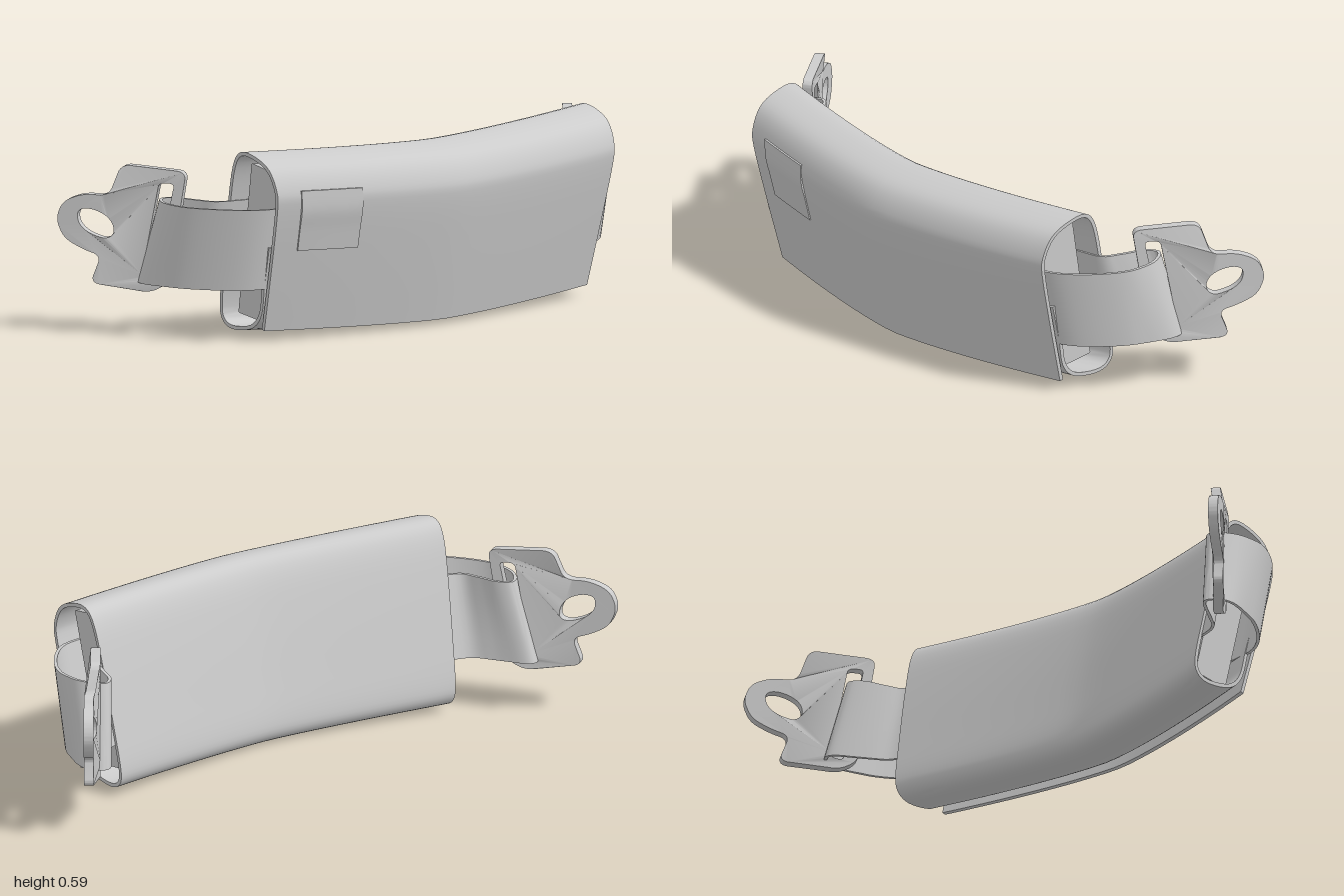
import * as THREE from 'three';
import { toCreasedNormals } from 'three/addons/utils/BufferGeometryUtils.js';

const material = new THREE.MeshStandardMaterial({ color: 0xcccccc, side: THREE.DoubleSide });

// Extrude a shape, then move every vertex by rule(x, y, z) -> [x, y, z]
function warped(name, shape, depth, steps, rule, mirror = false) {
  const geo = new THREE.ExtrudeGeometry(shape, { depth, steps, bevelEnabled: false, curveSegments: 10 });
  geo.deleteAttribute('uv');
  const p = geo.attributes.position;
  for (let i = 0; i < p.count; i++) {
    const [x, y, z] = rule(p.getX(i), p.getY(i), p.getZ(i));
    p.setXYZ(i, mirror ? -x : x, y, z);
  }
  if (mirror) { // keep faces pointing outward
    const a = new THREE.Vector3(), b = new THREE.Vector3();
    for (let i = 0; i < p.count; i += 3) {
      a.fromBufferAttribute(p, i + 1);
      b.fromBufferAttribute(p, i + 2);
      p.setXYZ(i + 1, b.x, b.y, b.z);
      p.setXYZ(i + 2, a.x, a.y, a.z);
    }
  }
  const mesh = new THREE.Mesh(toCreasedNormals(geo, 0.65), material);
  mesh.name = name;
  return mesh;
}

// Outline of a smooth line with the given thickness
function thickLine(points, thickness, n) {
  const curve = new THREE.SplineCurve(points.map(([x, y]) => new THREE.Vector2(x, y)));
  const a = [], b = [];
  for (let i = 0; i <= n; i++) {
    const c = curve.getPoint(i / n), t = curve.getTangent(i / n);
    const off = new THREE.Vector2(-t.y, t.x).multiplyScalar(thickness / 2);
    a.push(c.clone().add(off));
    b.unshift(c.clone().sub(off));
  }
  return new THREE.Shape([...a, ...b]);
}

// Polygon with rounded corners
function rounded(points, r, Type = THREE.Shape) {
  const path = new Type();
  const v = points.map(([x, y]) => new THREE.Vector2(x, y));
  v.forEach((c, i) => {
    const prev = v[(i + v.length - 1) % v.length], next = v[(i + 1) % v.length];
    const toward = (q) => c.clone().lerp(q, Math.min(0.49, r / c.distanceTo(q)));
    const s = toward(prev), e = toward(next);
    if (i === 0) path.moveTo(s.x, s.y); else path.lineTo(s.x, s.y);
    path.quadraticCurveTo(c.x, c.y, e.x, e.y);
  });
  path.closePath();
  return path;
}

// Sections are (-z, y); the length runs along x and bows forward in the middle
const bend = (start) => (sx, y, l) => {
  const x = start + l;
  const e = Math.pow(Math.abs(x) / 0.66, 1.4);
  return [x * (0.945 + 0.095 * y), y - 0.018 * (1 - e), -sx + 0.1 * (1 - e)];
};
const section = (pts) => pts.map(([z, y]) => [-z, y]);

export function createModel() {
  const model = new THREE.Group();
  model.name = 'paddedBelt';

  // Sleeve: one sheet wrapped round, its lower edge tucked behind the front
  const sheet = section([
    [0.21, 0.30], [0.178, 0.18], [0.158, 0.09], [0.12, 0.045], [0.06, 0.027], [0.0, 0.026],
    [-0.033, 0.05], [-0.036, 0.1], [-0.013, 0.22], [0.025, 0.4], [0.06, 0.53], [0.1, 0.577],
    [0.17, 0.57], [0.23, 0.54], [0.262, 0.48], [0.26, 0.42], [0.22, 0.25], [0.165, 0.035],
  ]);
  model.add(warped('sleeve', thickLine(sheet, 0.012, 68), 1.335, 24, bend(-0.65)));

  // Foam core inside the sleeve
  const core = rounded(section([[0.22, 0.525], [0.09, 0.545], [-0.01, 0.065], [0.12, 0.05]]), 0.006);
  model.add(warped('foamCore', core, 1.24, 20, bend(-0.61)));

  // Small square patch on the front
  const patch = section([[0.27, 0.482], [0.268, 0.42], [0.253, 0.36], [0.237, 0.292]]);
  model.add(warped('patch', thickLine(patch, 0.008, 12), 0.21, 4, bend(-0.57)));

  // Strap loop seen from above, as (x, -z)
  const loop = [
    [0.55, 0.215], [0.66, 0.2], [0.74, 0.14], [0.81, 0.04], [0.835, -0.06], [0.825, -0.12],
    [0.79, -0.155], [0.755, -0.13], [0.72, -0.06], [0.68, 0.0], [0.58, 0.025],
  ].map(([x, z]) => [x, -z]);
  const strapRule = (x, negZ, h) => {
    const y = 0.165 + h, z = -negZ, lean = (y - 0.3) * 0.22;
    const nearPlate = THREE.MathUtils.clamp(-z / 0.12, 0, 1);
    return [x - 0.72 * lean * nearPlate, y, z + lean];
  };

  // Anchor plate outline, as (-z, y), with strap slot and eye
  const plate = rounded([
    [0.043, 0.513], [0.208, 0.528], [0.236, 0.432], [0.3, 0.435], [0.352, 0.41], [0.37, 0.355],
    [0.35, 0.295], [0.3, 0.262], [0.255, 0.245], [0.282, 0.16], [0.135, 0.133], [0.088, 0.165],
  ], 0.026);
  plate.holes.push(
    rounded([[0.073, 0.475], [0.112, 0.475], [0.158, 0.175], [0.125, 0.165]], 0.014, THREE.Path),
    rounded([[0.245, 0.375], [0.285, 0.392], [0.315, 0.385], [0.314, 0.345],
      [0.29, 0.316], [0.245, 0.297], [0.224, 0.31], [0.226, 0.345]], 0.02, THREE.Path),
  );
  const plateRule = (s, y, d) => {
    const out = d - 0.015 + 0.02 * THREE.MathUtils.smoothstep(s, 0.2, 0.25);
    return [0.75 + (s - 0.05) * 0.74 + 0.81 * out, y, -s + 0.585 * out];
  };

  for (const [side, mirror] of [['left', false], ['right', true]]) {
    model.add(warped(side + 'Strap', thickLine(loop, 0.01, 48), 0.257, 4, strapRule, mirror));
    model.add(warped(side + 'AnchorPlate', plate, 0.03, 1, plateRule, mirror));
  }
  return model;
}
